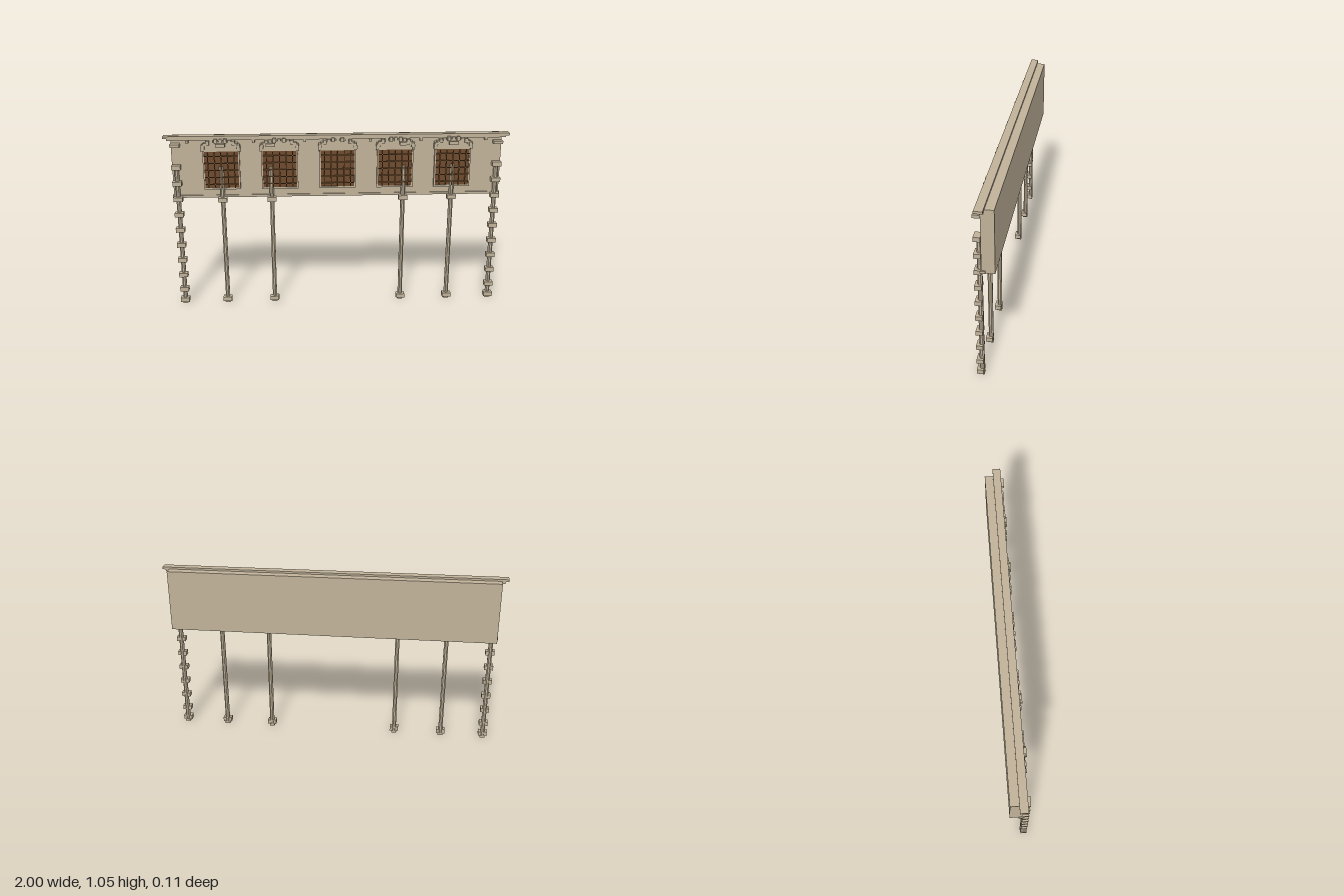
import * as THREE from 'three';

export function createModel() {
  const root = new THREE.Group();
  root.name = 'arcadeFacade';
  const mat = (name, color) => {
    const m = new THREE.MeshStandardMaterial({ color });
    m.name = name;
    return m;
  };
  const stone = mat('sandstone', 0xc0b299);
  const wood = mat('brownShutter', 0x6f4a2e);
  const bar = mat('latticeBar', 0x7a5630);

  const add = (parent, name, geo, material, x = 0, y = 0, z = 0) => {
    const m = new THREE.Mesh(geo, material);
    m.name = name;
    m.position.set(x, y, z);
    parent.add(m);
    return m;
  };
  // box given by its centre x, width and its y and z ranges
  const box = (parent, name, x, w, y0, y1, z0, z1, material = stone) =>
    add(parent, name, new THREE.BoxGeometry(w, y1 - y0, z1 - z0), material,
      x, (y0 + y1) / 2, (z0 + z1) / 2);

  // wall, cornice and lower ledge
  box(root, 'wall', 0, 1.92, 0.672, 1.035, -0.053, 0.016);
  box(root, 'corniceTop', 0, 2.0, 1.032, 1.046, -0.005, 0.04);
  box(root, 'corniceLower', 0, 1.96, 1.02, 1.032, -0.002, 0.034);
  box(root, 'lowerLedge', 0, 1.935, 0.673, 0.687, -0.005, 0.022);

  // small brackets under the cornice
  for (const s of [-1, 1]) for (const x of [0.19, 0.485, 0.865])
    box(root, 'bracket', s * x, 0.016, 1.004, 1.02, 0.014, 0.036);

  // octagonal columns; the end ones carry stacked blocks
  const column = (x, blocks) => {
    const g = new THREE.Group();
    g.name = blocks ? 'banded end column' : 'column';
    g.position.x = x;
    const r = 0.0125 / Math.cos(Math.PI / 8);
    const shaft = new THREE.CylinderGeometry(r, r, 0.86, 8).rotateY(Math.PI / 8).toNonIndexed();
    shaft.computeVertexNormals();
    add(g, 'shaft', shaft, stone, 0, 0.43, 0.028);
    box(g, 'foot', 0, 0.03, 0, 0.014, 0.015, 0.042);
    const ys = blocks
      ? [0.025, 0.095, 0.19, 0.287, 0.383, 0.479, 0.575, 0.67, 0.766, 0.863]
      : [0.025, 0.664];
    for (const y of ys) box(g, 'block', 0, 0.052, y - 0.013, y + 0.013, 0.018, 0.054);
    box(g, 'topBlock', 0, 0.054, 0.984, 1.002, 0.016, 0.055);
    root.add(g);
  };
  for (const s of [-1, 1]) {
    column(s * 0.934, true);
    column(s * 0.675, false);
    column(s * 0.387, false);
  }

  // window surround with an arched head and a square opening
  const surround = new THREE.Shape();
  surround.moveTo(-0.106, 0.725);
  surround.lineTo(0.106, 0.725);
  surround.lineTo(0.106, 0.962);
  surround.absellipse(0, 0.962, 0.106, 0.05, 0, Math.PI, false);
  surround.lineTo(-0.106, 0.725);
  const hole = new THREE.Path();
  hole.moveTo(-0.098, 0.735);
  hole.lineTo(-0.098, 0.953);
  hole.lineTo(0.098, 0.953);
  hole.lineTo(0.098, 0.735);
  hole.closePath();
  surround.holes.push(hole);
  const surroundGeo = new THREE.ExtrudeGeometry(surround,
    { depth: 0.02, bevelEnabled: false, curveSegments: 10 });

  const makeWindow = (x) => {
    const g = new THREE.Group();
    g.name = 'window';
    g.position.x = x;
    add(g, 'surround', surroundGeo, stone, 0, 0, 0.014);
    box(g, 'shutter', 0, 0.196, 0.735, 0.953, 0.015, 0.03, wood);
    // lattice
    for (let i = -2; i <= 2; i++) {
      box(g, 'uprightBar', i * 0.038, 0.005, 0.738, 0.95, 0.041, 0.047, bar);
      const y = 0.844 + i * 0.042;
      box(g, 'crossBar', 0, 0.194, y - 0.0025, y + 0.0025, 0.04, 0.046, bar);
    }
    // stepped arch stones
    const n = 13;
    for (let i = 0; i < n; i++) {
      const a = Math.PI * i / (n - 1);
      const odd = i % 2;
      const cx = 0.104 * Math.cos(a), cy = 0.97 + 0.047 * Math.sin(a);
      box(g, 'archStone', cx, 0.019, cy - 0.01, cy + 0.01 + odd * 0.004,
        0.015, odd ? 0.048 : 0.041);
    }
    // hood ends
    for (const s of [-1, 1])
      box(g, 'hoodEnd', s * 0.106, 0.014, 0.955, 0.985, 0.015, 0.044);
    root.add(g);
  };
  for (let i = -2; i <= 2; i++) makeWindow(i * 0.337);

  return root;
}
